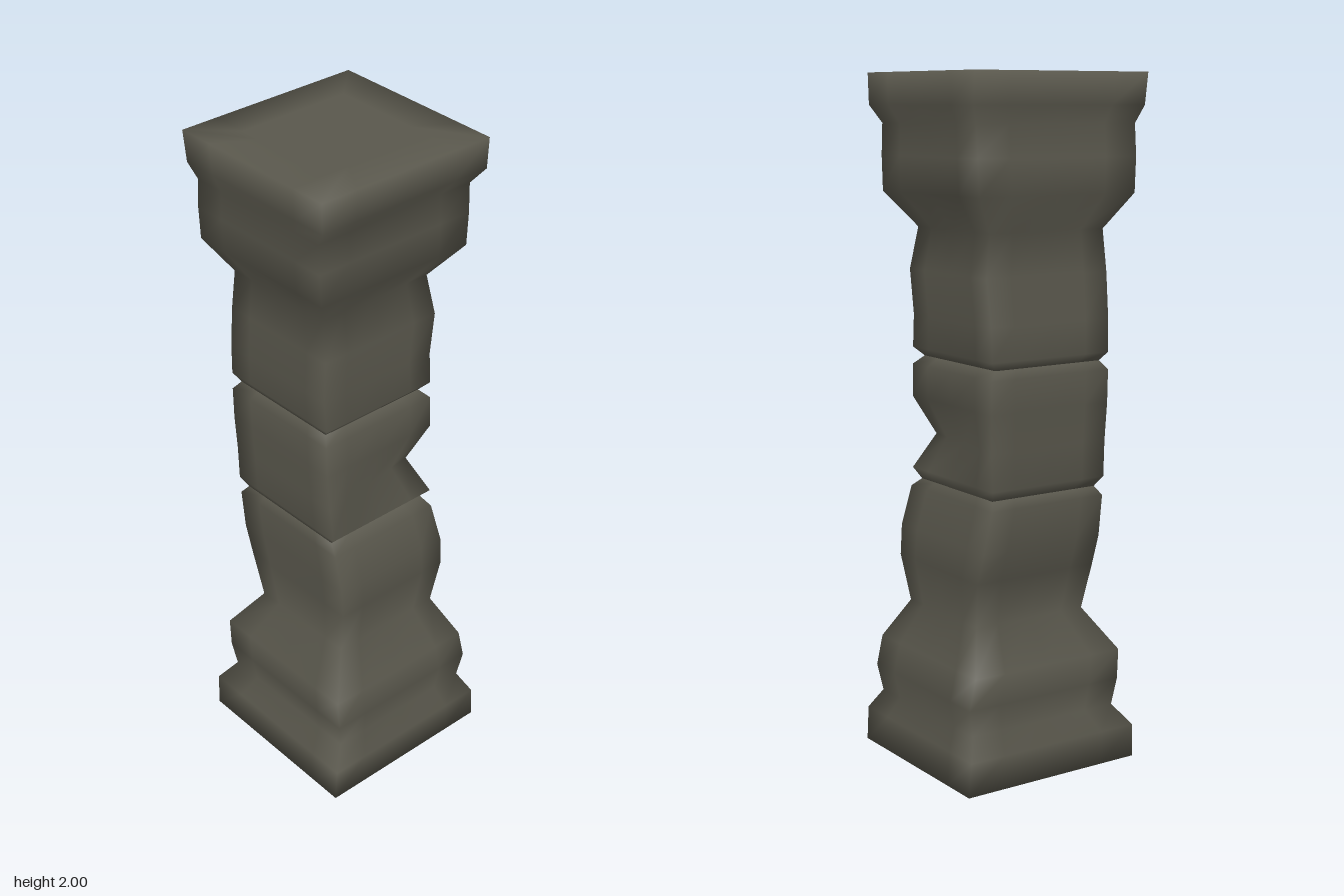
import * as THREE from 'three';

// Each row: y, left x, right x, back z, front z, chip depth of the back corner
const lower = [
  [0.01, -0.28, 0.305, -0.295, 0.296],
  [0.11, -0.285, 0.305, -0.29, 0.29],
  [0.17, -0.245, 0.265, -0.26, 0.242],
  [0.25, -0.255, 0.275, -0.275, 0.255],
  [0.34, -0.26, 0.267, -0.26, 0.255],
  [0.46, -0.18, 0.19, -0.205, 0.177],
  [0.60, -0.225, 0.205, -0.23, 0.182],
  [0.69, -0.25, 0.205, -0.225, 0.186],
  [0.81, -0.26, 0.18, -0.205, 0.19],
  [0.835, -0.24, 0.145, -0.19, 0.175],
];
const middle = [
  [0.835, -0.24, 0.145, -0.19, 0.175],
  [0.865, -0.262, 0.175, -0.203, 0.192],
  [0.97, -0.262, 0.165, -0.208, 0.195, 0.05],
  [1.08, -0.27, 0.155, -0.213, 0.197],
  [1.175, -0.274, 0.15, -0.215, 0.196],
  [1.2, -0.255, 0.125, -0.19, 0.177],
];
const upper = [
  [1.2, -0.255, 0.125, -0.19, 0.177],
  [1.225, -0.278, 0.148, -0.215, 0.192],
  [1.32, -0.272, 0.142, -0.215, 0.196],
  [1.45, -0.26, 0.15, -0.222, 0.197],
  [1.57, -0.25, 0.13, -0.205, 0.19],
  [1.67, -0.308, 0.207, -0.275, 0.256],
  [1.77, -0.3, 0.212, -0.275, 0.266],
  [1.86, -0.285, 0.215, -0.27, 0.272],
  [1.91, -0.303, 0.255, -0.29, 0.292],
  [2.0, -0.31, 0.26, -0.29, 0.297],
];

// Rounded-looking square outline, worn a little at the corners
function outline([y, x0, x1, z0, z1, chip = 0]) {
  const corners = [
    [x0 + 0.014, z1],
    [x1 - 0.003, z1 - 0.01],
    [x1 - 0.008 - chip, z0 + 0.01 + chip],
    [x0, z0 + 0.008],
  ];
  const points = [];
  corners.forEach(([x, z], i) => {
    const [nx, nz] = corners[(i + 1) % 4];
    for (const t of [0, 0.2, 0.5, 0.8]) {
      points.push([x + (nx - x) * t, y, z + (nz - z) * t]);
    }
  });
  return points;
}

// Shrinks an outline about its centre to make the flat ends
function shrink(ring, k, y) {
  const cx = ring.reduce((s, p) => s + p[0], 0) / ring.length;
  const cz = ring.reduce((s, p) => s + p[2], 0) / ring.length;
  return ring.map(([x, , z]) => [cx + (x - cx) * k, y, cz + (z - cz) * k]);
}

// Joins outlines from bottom to top with smooth shared vertices
function loft(rings) {
  const n = rings[0].length, index = [];
  for (let i = 0; i < rings.length - 1; i++) {
    for (let j = 0; j < n; j++) {
      const a = i * n + j, b = i * n + (j + 1) % n;
      index.push(a, b, b + n, a, b + n, a + n);
    }
  }
  const geometry = new THREE.BufferGeometry();
  geometry.setAttribute('position', new THREE.Float32BufferAttribute(rings.flat(2), 3));
  geometry.setIndex(index);
  geometry.computeVertexNormals();
  return geometry;
}

export function createModel() {
  const group = new THREE.Group();
  group.name = 'stonePillar';
  const stone = new THREE.MeshStandardMaterial({ color: 0x5a584d });
  stone.name = 'dark stone';

  const add = (name, rings) => {
    const mesh = new THREE.Mesh(loft(rings), stone);
    mesh.name = name;
    group.add(mesh);
  };

  // Foot and lower shaft, closed underneath
  const foot = lower.map(outline);
  add('baseBlock', [shrink(foot[0], 0, 0), shrink(foot[0], 0.6, 0), ...foot]);

  // Middle shaft with a chipped corner
  add('middleBlock', middle.map(outline));

  // Upper shaft and capital, closed on top
  const head = upper.map(outline);
  const rim = head[head.length - 1];
  add('capitalBlock', [...head, shrink(rim, 0.6, 2), shrink(rim, 0, 2)]);

  return group;
}
